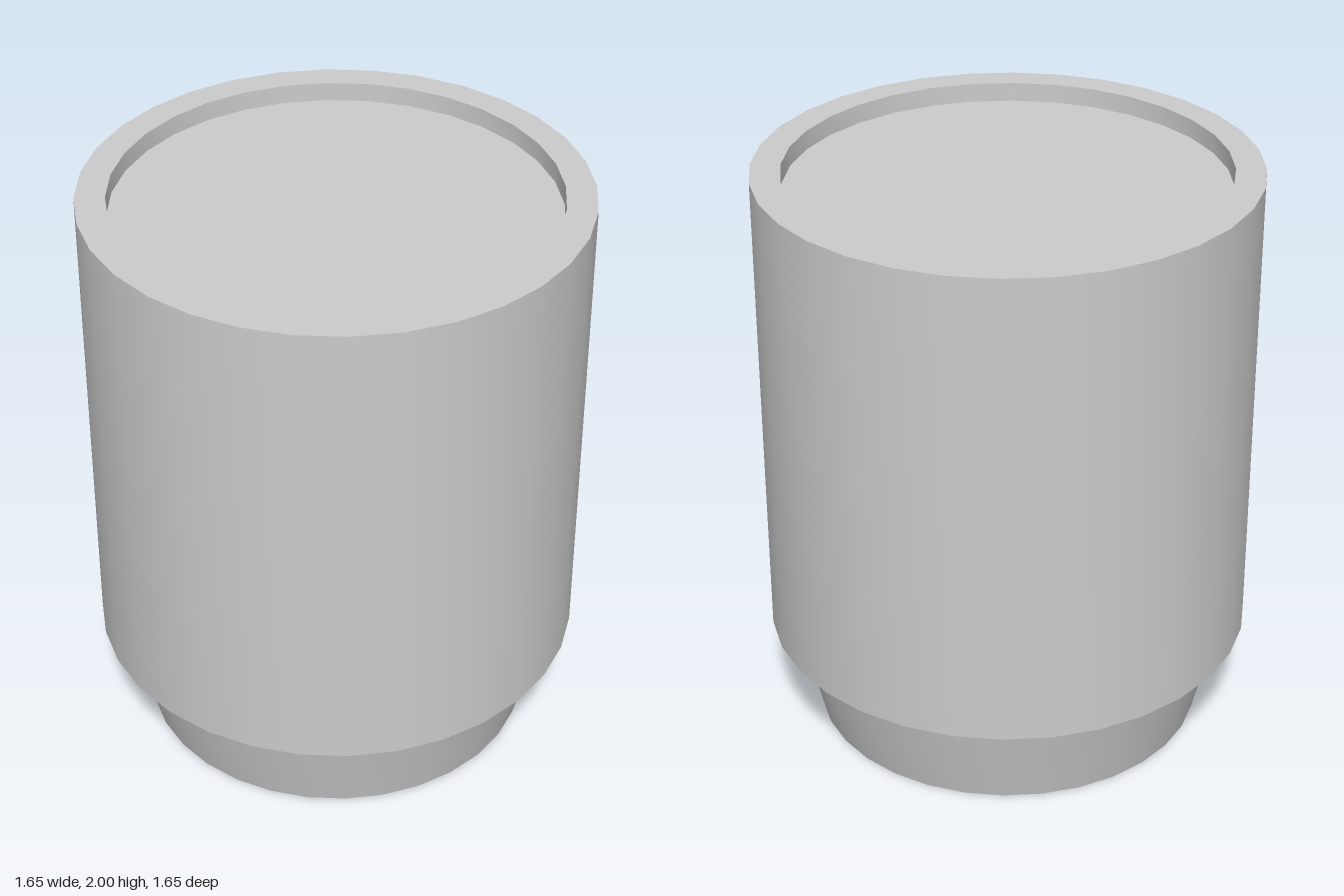
import * as THREE from 'three';
import { toCreasedNormals } from 'three/addons/utils/BufferGeometryUtils.js';

const SIDES = 32;

// Turned part with smooth walls and sharp rims, flat sides facing the axes
function turned(name, profile) {
  const points = profile.map(([r, y]) => new THREE.Vector2(r, y));
  const lathe = new THREE.LatheGeometry(points, SIDES, Math.PI / SIDES);
  const mesh = new THREE.Mesh(
    toCreasedNormals(lathe, 0.6),
    new THREE.MeshStandardMaterial({ color: 0xcccccc })
  );
  mesh.name = name;
  return mesh;
}

export function createModel() {
  const group = new THREE.Group();
  group.name = 'canister';

  // Tapered foot with a closed bottom
  group.add(turned('taperedBase', [[0, 0], [0.666, 0], [0.749, 0.35]]));

  // Straight body: underside ledge, wall, rim, recess wall and recessed top
  group.add(turned('body', [
    [0.749, 0.35], [0.827, 0.35], [0.827, 2], [0.728, 2], [0.728, 1.935], [0, 1.935],
  ]));

  return group;
}
